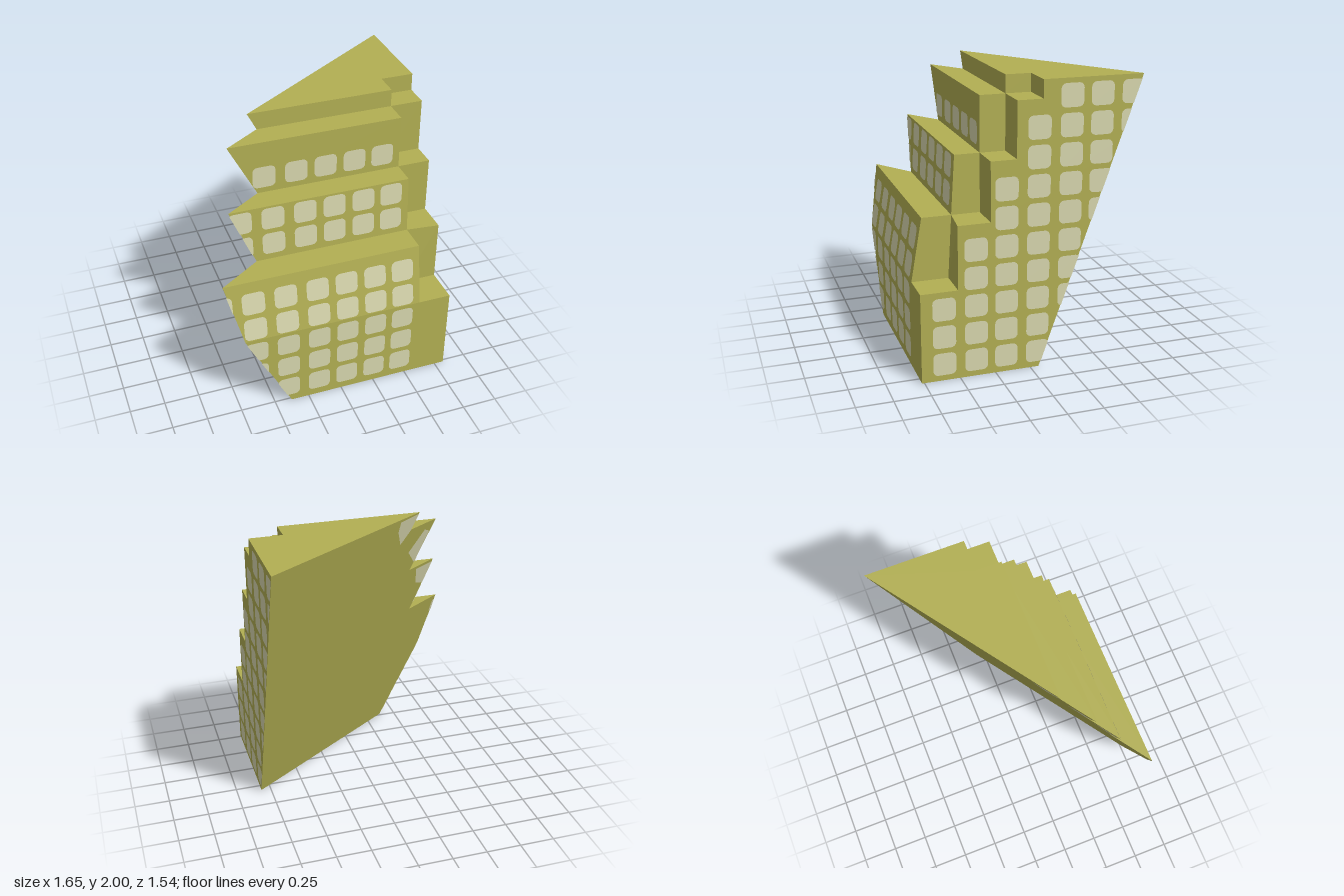
import * as THREE from 'three';

const RIGHT = 0.82, NOTCH = 0.585;

// Leaning rear plane that cuts the whole block
const planeZ = (x, y) => -0.06 - 0.69 * (x - RIGHT) - 0.355 * y;
const planeX = (z, y) => RIGHT + (-0.06 - 0.355 * y - z) / 0.69;

// Each storey block: heights, main front z and corner notch z (bottom, top)
const tiers = [
  { y: [0, 0.635], front: [0.767, 0.767], notch: [0.767, 0.767] },
  { y: [0.635, 1.08], front: [0.767, 0.69], notch: [0.51, 0.485], notchEdge: [0.51, 0.51] },
  { y: [1.08, 1.49], front: [0.485, 0.46], notch: [0.285, 0.285] },
  { y: [1.49, 1.875], front: [0.285, 0.285], notch: [0.107, 0.107] },
  { y: [1.875, 2], front: [0.107, 0.107], notch: [-0.07, -0.07] },
];

// Footprint of a tier at its bottom (k = 0) or top (k = 1)
function outline(t, k) {
  const y = t.y[k], f = t.front[k], n = t.notch[k], e = (t.notchEdge || t.notch)[k];
  return [[planeX(f, y), f], [NOTCH, f], [NOTCH, n], [RIGHT, e], [RIGHT, planeZ(RIGHT, y)]]
    .map(([x, z]) => new THREE.Vector3(x, y, z));
}

function meshFrom(points, material, name) {
  const g = new THREE.BufferGeometry().setFromPoints(points);
  g.computeVertexNormals();
  const m = new THREE.Mesh(g, material);
  m.name = name;
  return m;
}

const quad = (a, b, c, d) => [a, b, c, a, c, d];

// Convex polygon to triangles
function fan(poly) {
  const out = [];
  for (let i = 1; i < poly.length - 1; i++) out.push(poly[0], poly[i], poly[i + 1]);
  return out;
}

// Keep only the part of a polygon in front of the rear plane
function clip(poly) {
  const d = p => p.z - planeZ(p.x, p.y);
  const out = [];
  poly.forEach((a, i) => {
    const b = poly[(i + 1) % poly.length], da = d(a), db = d(b);
    if (da >= 0) out.push(a);
    if (da * db < 0) out.push(a.clone().lerp(b, da / (da - db)));
  });
  return out;
}

// Rounded window pane centred at (u, v), placed on a wall by the map function
function pane(u, v, map) {
  const h = 0.08, r = 0.035, poly = [];
  [[1, 1], [-1, 1], [-1, -1], [1, -1]].forEach(([sx, sy], q) => {
    for (let i = 0; i <= 4; i++) {
      const a = (q + i / 4) * Math.PI / 2;
      poly.push(map(u + sx * (h - r) + r * Math.cos(a), v + sy * (h - r) + r * Math.sin(a)));
    }
  });
  return fan(clip(poly));
}

export function createModel() {
  const wall = new THREE.MeshStandardMaterial({ color: 0xb2af53 });
  wall.name = 'olive wall';
  const glass = new THREE.MeshStandardMaterial({ color: 0xd8d7ae, side: THREE.DoubleSide });
  glass.name = 'pale window';
  const model = new THREE.Group();
  model.name = 'steppedBuilding';

  // Walls of every tier, with the ledge up to the next one
  tiers.forEach((t, i) => {
    const lo = outline(t, 0), hi = outline(t, 1), tris = [];
    for (let k = 0; k < 5; k++) {
      const n = (k + 1) % 5;
      tris.push(...quad(lo[k], lo[n], hi[n], hi[k]));
    }
    if (i === 0) tris.push(lo[0], lo[4], lo[3]);
    if (i < tiers.length - 1) {
      const up = outline(tiers[i + 1], 0);
      for (const k of [0, 2]) tris.push(...quad(hi[k], hi[k + 1], up[k + 1], up[k]));
    } else {
      tris.push(...fan([hi[2], hi[3], hi[4], hi[0], hi[1]]));
    }
    model.add(meshFrom(tris, wall, 'tier' + (i + 1)));
  });

  // Front windows: rows on the lower four tiers
  const frontRows = [[0.135, 0.332, 0.53], [0.725, 0.92], [1.203, 1.397], [1.61]];
  const frontCols = [-0.85, -0.625, -0.398, -0.17, 0.04, 0.25, 0.455];
  const front = [];
  frontRows.forEach((rows, i) => {
    const t = tiers[i];
    const map = (x, y) => new THREE.Vector3(x, y,
      THREE.MathUtils.mapLinear(y, t.y[0], t.y[1], t.front[0], t.front[1]) + 0.003);
    for (const y of rows) for (const x of frontCols) front.push(...pane(x, y, map));
  });
  model.add(meshFrom(front, glass, 'frontWindows'));

  // Side windows: each column rises to its step
  const side = [];
  [[0.608, 3], [0.386, 5], [0.175, 7], [-0.047, 9], [-0.27, 10], [-0.482, 10], [-0.7, 10]]
    .forEach(([z, count]) => {
      for (let r = 0; r < count; r++)
        side.push(...pane(-z, 0.12 + r * 0.1963, (u, v) => new THREE.Vector3(RIGHT + 0.003, v, -u)));
    });
  model.add(meshFrom(side, glass, 'sideWindows'));

  // Window corners on the rear plane at the pointed tips
  const rear = [
    [[-0.27, 1.98], [-0.445, 1.99], [-0.384, 1.87], [-0.298, 1.78], [-0.258, 1.9]],
    [[-0.54, 1.82], [-0.59, 1.79], [-0.48, 1.55], [-0.4, 1.67]],
    [[-0.518, 1.47], [-0.69, 1.47], [-0.62, 1.3], [-0.543, 1.33]],
    [[-0.79, 1.04], [-0.81, 1.04], [-0.79, 0.94], [-0.77, 0.94]],
  ].flatMap(p => fan(p.map(([x, y]) => new THREE.Vector3(x, y, planeZ(x, y) - 0.004))));
  model.add(meshFrom(rear, glass, 'rearWindowCorners'));

  return model;
}
